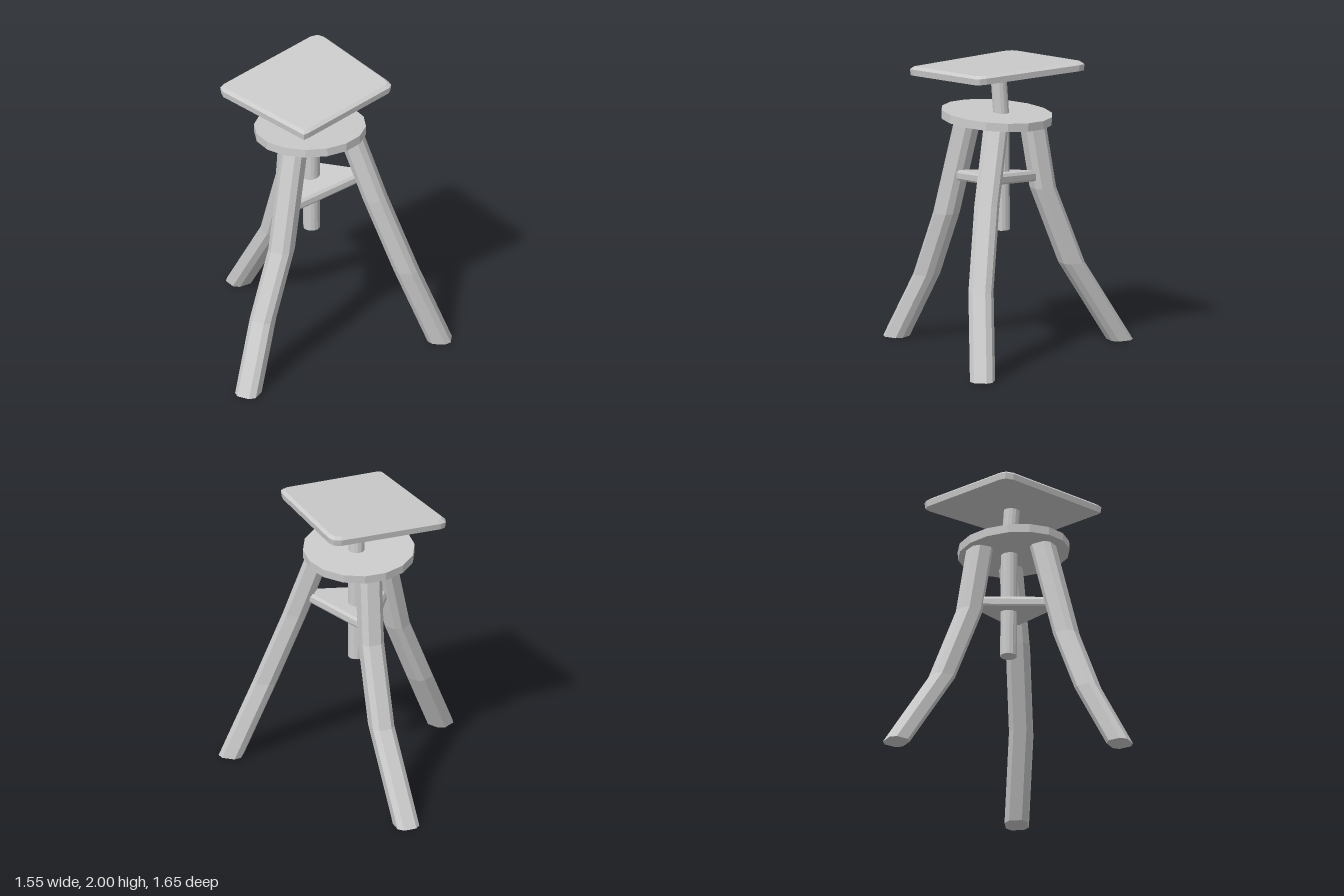
import * as THREE from 'three';

const material = new THREE.MeshStandardMaterial({ color: 0xcccccc, flatShading: true, side: THREE.DoubleSide });

function mesh(name, geometry) {
  const m = new THREE.Mesh(geometry, material);
  m.name = name;
  return m;
}

// Closed solid through rings listed bottom to top, each running from +x towards +z
function loft(rings) {
  const pos = [];
  const tri = (...pts) => pts.forEach(p => pos.push(p.x, p.y, p.z));
  const n = rings[0].length, top = rings[rings.length - 1], bottom = rings[0];
  for (let r = 0; r < rings.length - 1; r++) {
    for (let i = 0; i < n; i++) {
      const j = (i + 1) % n, a = rings[r], b = rings[r + 1];
      tri(a[j], a[i], b[i]);
      tri(a[j], b[i], b[j]);
    }
  }
  for (let i = 1; i < n - 1; i++) {
    tri(bottom[0], bottom[i], bottom[i + 1]);
    tri(top[0], top[i + 1], top[i]);
  }
  const g = new THREE.BufferGeometry();
  g.setAttribute('position', new THREE.Float32BufferAttribute(pos, 3));
  g.computeVertexNormals();
  return g;
}

// Tilted slab from an [x, z] outline; levels are [height, scale about the centre]
function slab(outline, [cx, cz], heightAt, levels) {
  return loft(levels.map(([h, s]) => outline.map(([px, pz]) => {
    const x = cx + (px - cx) * s, z = cz + (pz - cz) * s;
    return new THREE.Vector3(x, heightAt(x, z) + h, z);
  })));
}

// Leg with a chamfered square section carried along bent centre points
function leg(path, angle) {
  const a = 0.077, b = 0.043;
  const section = [[a, -b], [a, b], [b, a], [-b, a], [-a, b], [-a, -b], [-b, -a], [b, -a]];
  const c = Math.cos(angle), s = Math.sin(angle);
  return loft(path.map(([x, y, z]) => section.map(([u, v]) =>
    new THREE.Vector3(x + u * c - v * s, y, z + u * s + v * c))));
}

// Round bar between two points
function bar(name, from, to, radius) {
  const a = new THREE.Vector3(...from), b = new THREE.Vector3(...to);
  const dir = b.clone().sub(a);
  const m = mesh(name, new THREE.CylinderGeometry(radius, radius, dir.length(), 14));
  m.position.copy(a).add(b).multiplyScalar(0.5);
  m.quaternion.setFromUnitVectors(new THREE.Vector3(0, 1, 0), dir.normalize());
  return m;
}

export function createModel() {
  const group = new THREE.Group();

  // Slightly uneven square top with clipped corners and a bevelled upper rim
  const seatOutline = [
    [-0.735, 0.05], [-0.755, 0], [-0.735, -0.04],
    [-0.2, -0.587], [-0.153, -0.605], [-0.11, -0.58],
    [0.36, -0.045], [0.384, 0], [0.375, 0.035],
    [-0.118, 0.55], [-0.15, 0.575], [-0.18, 0.55],
  ];
  group.add(mesh('seat', slab(seatOutline, [-0.18, -0.01],
    (x, z) => 1.9 + 0.065 * (x + 0.18) - 0.072 * (z + 0.01),
    [[0, 0.99], [0.042, 1], [0.06, 0.95]])));

  // Central post, its upper end leaning with the seat
  group.add(bar('postLower', [-0.15, 0.84, -0.045], [-0.15, 1.62, -0.04], 0.056));
  group.add(bar('postUpper', [-0.15, 1.6, -0.043], [-0.15, 1.925, -0.021], 0.054));

  // Round plate the legs hang from
  const plate = mesh('roundPlate', new THREE.CylinderGeometry(0.373, 0.373, 0.057, 16));
  plate.position.set(-0.157, 1.609, -0.01);
  plate.quaternion.setFromUnitVectors(new THREE.Vector3(0, 1, 0),
    new THREE.Vector3(-0.025, 1, -0.063).normalize());
  group.add(plate);

  // Three-cornered brace between the legs
  const braceOutline = [
    [0.16, -0.09], [0.16, 0], [-0.2, 0.27], [-0.28, 0.26], [-0.33, -0.24], [-0.25, -0.27],
  ];
  group.add(mesh('brace', slab(braceOutline, [-0.13, -0.02],
    (x, z) => 1.185 + 0.155 * x - 0.028 * z,
    [[0, 0.96], [0.012, 1], [0.05, 1], [0.07, 0.93]])));

  // Bent legs, listed from foot to top
  group.add(mesh('leftLeg', leg([
    [0.7, 0, -0.08], [0.48, 0.56, -0.027], [0.273, 1.1, -0.027], [0.095, 1.6, -0.055]], 0)));
  group.add(mesh('frontLeg', leg([
    [-0.507, 0, 0.735], [-0.427, 0.45, 0.515], [-0.316, 0.9, 0.36], [-0.24, 1.61, 0.19]], 1.95)));
  group.add(mesh('backLeg', leg([
    [-0.69, 0, -0.737], [-0.44, 0.57, -0.46], [-0.32, 1.1, -0.29], [-0.285, 1.59, -0.22]], 4.05)));

  return group;
}
